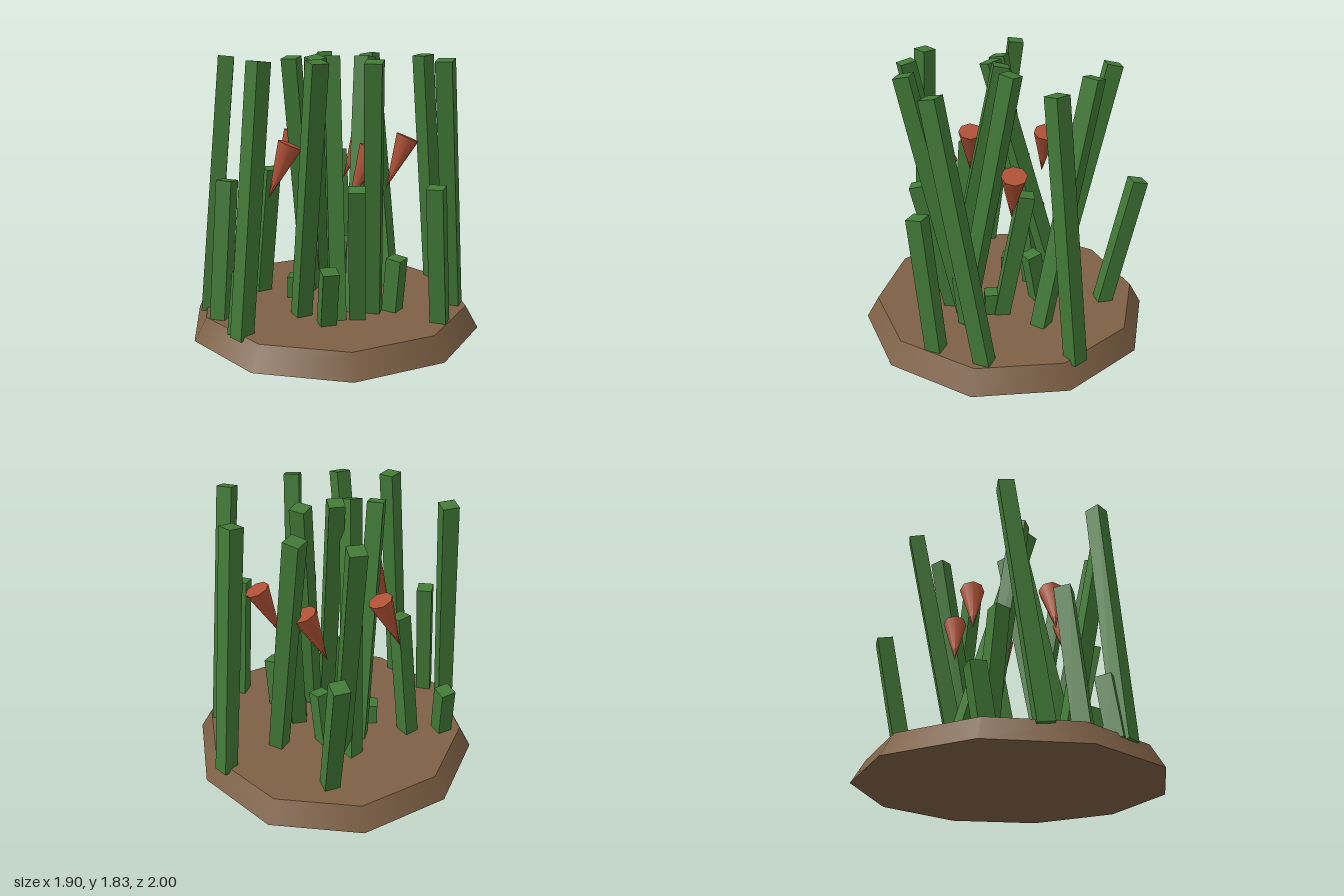
import * as THREE from 'three';

const soil = new THREE.MeshStandardMaterial({ name: 'soil brown', color: 0x7d6045 });
const green = new THREE.MeshStandardMaterial({ name: 'stalk green', color: 0x427a37 });
const red = new THREE.MeshStandardMaterial({ name: 'bud red', color: 0xae5034 });

const UP = new THREE.Vector3(0, 1, 0);
const FOOT = 0.12;      // stalks are rooted just below the soil surface
const WIDTH = 0.105;

// Stalks by height: top x, top z, foot x, foot z, spin in degrees
const stalks = [
  { name: 'tallStalk', top: 1.81, rows: [
    [-0.70, -0.14, -0.86, 0.06, 0],
    [-0.50, 0.51, -0.64, 0.57, -40],
    [-0.28, 0.02, -0.14, -0.21, 25],
    [-0.13, 0.09, -0.05, -0.39, -30],
    [-0.17, 0.63, -0.25, 0.29, -20],
    [-0.02, 0.03, -0.02, 0.39, 0],
    [0.16, 0.64, 0.23, 0.29, 18],
    [0.21, -0.01, 0.11, 0.28, 40],
    [0.32, -0.50, 0.43, -0.19, 40],
    [0.01, -0.69, 0.01, -0.33, 0],
    [0.65, -0.22, 0.81, -0.36, -35],
    [0.62, 0.48, 0.80, 0.21, 28],
  ] },
  { name: 'mediumStalk', top: 1.05, rows: [
    [0.14, -0.87, 0.16, -0.67, -8],
    [0.56, 0.59, 0.63, 0.51, 28],
    [0.07, 0.59, 0.11, 0.38, 8],
    [-0.42, -0.14, -0.50, -0.22, -25],
    [-0.71, 0.22, -0.78, 0.29, 25],
    [0.30, -0.10, 0.25, 0.06, 0],
  ] },
  { name: 'shortStalk', top: 0.52, rows: [
    [-0.72, -0.31, -0.74, -0.25, -15],
    [-0.62, 0.47, -0.66, 0.51, 30],
    [-0.09, 0.54, -0.10, 0.46, -8],
    [0.38, 0.32, 0.36, 0.28, 40],
    [0.13, -0.16, 0.10, -0.23, -25],
  ] },
  { name: 'tinyStalk', top: 0.3, rows: [
    [-0.26, -0.05, -0.26, -0.05, 15],
    [0.24, 0.12, 0.24, 0.12, 0],
  ] },
];

// Square stalk running from its foot to its top
function makeStalk(name, height, [tx, tz, fx, fz, spin]) {
  const top = new THREE.Vector3(tx, height, tz);
  const foot = new THREE.Vector3(fx, FOOT, fz);
  const axis = top.clone().sub(foot);
  const mesh = new THREE.Mesh(new THREE.BoxGeometry(WIDTH, axis.length(), WIDTH), green);
  mesh.name = name;
  mesh.position.copy(top).add(foot).multiplyScalar(0.5);
  mesh.quaternion.setFromUnitVectors(UP, axis.normalize());
  mesh.rotateY(-THREE.MathUtils.degToRad(spin));
  return mesh;
}

export function createModel() {
  const model = new THREE.Group();
  model.name = 'grassPatch';

  // Ten-sided soil mound
  const base = new THREE.Mesh(new THREE.CylinderGeometry(0.915, 1, 0.15, 10), soil);
  base.name = 'soilBase';
  base.position.y = 0.075;
  model.add(base);

  for (const { name, top, rows } of stalks)
    for (const row of rows) model.add(makeStalk(name, top, row));

  // Buds: upside-down cones, all tilted the same way
  const budShape = new THREE.CylinderGeometry(0.082, 0, 0.38, 8);
  for (const [x, z] of [[-0.24, -0.30], [0.26, -0.38], [0.505, 0], [-0.305, 0.22], [0.19, 0.41]]) {
    const bud = new THREE.Mesh(budShape, red);
    bud.name = 'bud';
    bud.position.set(x - 0.0725, 1.095, z);
    bud.rotation.z = -0.393;
    model.add(bud);
  }
  return model;
}
